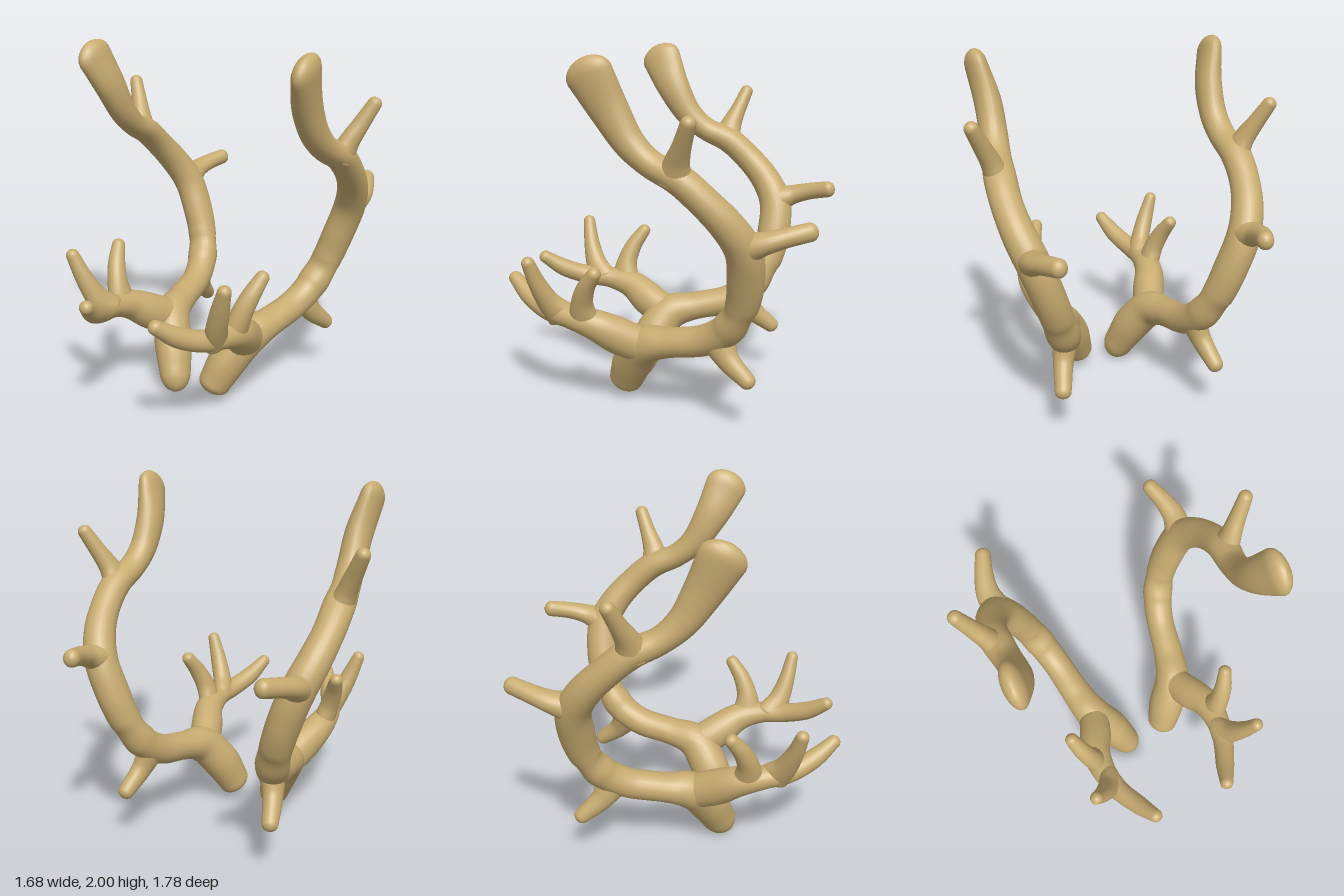
import * as THREE from 'three';

const SIDES = 24;

// Smooth tapered limb with rounded ends.
// Each point is [x, y, z, radius across x, optional second radius].
function limbGeometry(points, startCap, endCap) {
  const path = new THREE.CatmullRomCurve3(points.map(p => new THREE.Vector3(p[0], p[1], p[2])));
  const radii = new THREE.CatmullRomCurve3(points.map(p => new THREE.Vector3(p[3], p[4] ?? p[3], 0)));
  const steps = points.length * 7;
  const rings = [];
  const addRing = (t, shift, scale) => rings.push({ t, shift, scale });
  const CAP = 6;
  for (let i = 0; i < CAP; i++) {
    const a = (i / CAP) * Math.PI / 2;
    addRing(0, -startCap * Math.cos(a), Math.sin(a));
  }
  for (let i = 0; i <= steps; i++) addRing(i / steps, 0, 1);
  for (let i = CAP - 1; i >= 0; i--) {
    const a = (i / CAP) * Math.PI / 2;
    addRing(1, endCap * Math.cos(a), Math.sin(a));
  }

  const positions = [], index = [];
  rings.forEach(({ t, shift, scale }, i) => {
    const tangent = path.getTangent(t);
    const center = path.getPoint(t).addScaledVector(tangent, shift);
    const r = radii.getPoint(t);
    const side = new THREE.Vector3(1, 0, 0).addScaledVector(tangent, -tangent.x).normalize();
    const other = new THREE.Vector3().crossVectors(tangent, side);
    for (let j = 0; j < SIDES; j++) {
      const a = (j / SIDES) * Math.PI * 2;
      const v = center.clone()
        .addScaledVector(side, Math.cos(a) * r.x * scale)
        .addScaledVector(other, Math.sin(a) * r.y * scale);
      positions.push(v.x, v.y, v.z);
      if (i < rings.length - 1) {
        const p = i * SIDES + j, q = i * SIDES + (j + 1) % SIDES;
        index.push(p, q, p + SIDES, q, q + SIDES, p + SIDES);
      }
    }
  });
  const g = new THREE.BufferGeometry();
  g.setAttribute('position', new THREE.Float32BufferAttribute(positions, 3));
  g.setIndex(index);
  g.computeVertexNormals();
  return g;
}

// Limbs of the left antler; the right one is mirrored in x.
const LIMBS = {
  mainBeam: { endCap: 0.09, points: [
    [0.14, 0.115, 0.215, 0.09, 0.1], [0.2, 0.26, 0.15, 0.108, 0.115], [0.275, 0.385, 0.06, 0.105, 0.11],
    [0.32, 0.43, -0.1, 0.09, 0.083], [0.355, 0.475, -0.29, 0.085], [0.395, 0.56, -0.42, 0.088],
    [0.45, 0.71, -0.505, 0.088], [0.51, 0.88, -0.535, 0.09, 0.098], [0.575, 1.05, -0.53, 0.09, 0.095],
    [0.625, 1.18, -0.46, 0.087], [0.655, 1.3, -0.35, 0.083, 0.08], [0.66, 1.41, -0.22, 0.085, 0.078],
    [0.645, 1.475, -0.08, 0.077, 0.07], [0.635, 1.57, 0.03, 0.075, 0.08],
    [0.64, 1.73, 0.13, 0.072, 0.1], [0.675, 1.9, 0.215, 0.058, 0.122]] },
  frontBeam: { endCap: 0.035, points: [
    [0.27, 0.37, 0.06, 0.09, 0.1], [0.32, 0.44, 0.2, 0.095, 0.105], [0.37, 0.515, 0.33, 0.085, 0.085],
    [0.375, 0.55, 0.47, 0.07, 0.065], [0.345, 0.565, 0.6, 0.06, 0.058],
    [0.28, 0.62, 0.74, 0.054], [0.225, 0.7, 0.85, 0.038]] },
  frontOuterTine: { endCap: 0.035, points: [
    [0.36, 0.55, 0.52, 0.06, 0.09], [0.4, 0.63, 0.575, 0.056, 0.066],
    [0.45, 0.75, 0.62, 0.05, 0.048], [0.498, 0.878, 0.65, 0.036]] },
  frontInnerTine: { endCap: 0.035, points: [
    [0.385, 0.54, 0.38, 0.06, 0.09], [0.42, 0.65, 0.375, 0.056, 0.062],
    [0.455, 0.75, 0.34, 0.05], [0.488, 0.842, 0.28, 0.038]] },
  lowerBackTine: { endCap: 0.04, points: [
    [0.375, 0.5, -0.37, 0.07, 0.1], [0.405, 0.4, -0.43, 0.055, 0.065], [0.44, 0.3, -0.545, 0.045]] },
  rearTine: { endCap: 0.04, points: [
    [0.575, 1.06, -0.53, 0.085, 0.09], [0.59, 1.1, -0.64, 0.068, 0.058],
    [0.57, 1.13, -0.74, 0.054, 0.05], [0.53, 1.155, -0.85, 0.044, 0.048]] },
  upperTine: { endCap: 0.035, points: [
    [0.665, 1.4, -0.2, 0.07, 0.1], [0.705, 1.5, -0.225, 0.054, 0.064],
    [0.75, 1.59, -0.26, 0.046, 0.047], [0.805, 1.7, -0.302, 0.038]] },
};

export function createModel() {
  const model = new THREE.Group();
  model.name = 'antlers';
  const horn = new THREE.MeshStandardMaterial({ color: 0xc7ab70 });
  horn.name = 'tan horn';

  for (const s of [1, -1]) {
    const antler = new THREE.Group();
    antler.name = s > 0 ? 'leftAntler' : 'rightAntler';
    for (const [name, limb] of Object.entries(LIMBS)) {
      const points = limb.points.map(([x, ...rest]) => [s * x, ...rest]);
      // The right base ends in a longer, rougher stub
      const baseCap = name === 'mainBeam' ? (s > 0 ? 0.06 : 0.125) : 0.03;
      const mesh = new THREE.Mesh(limbGeometry(points, baseCap, limb.endCap), horn);
      mesh.name = name;
      antler.add(mesh);
    }
    model.add(antler);
  }
  return model;
}
